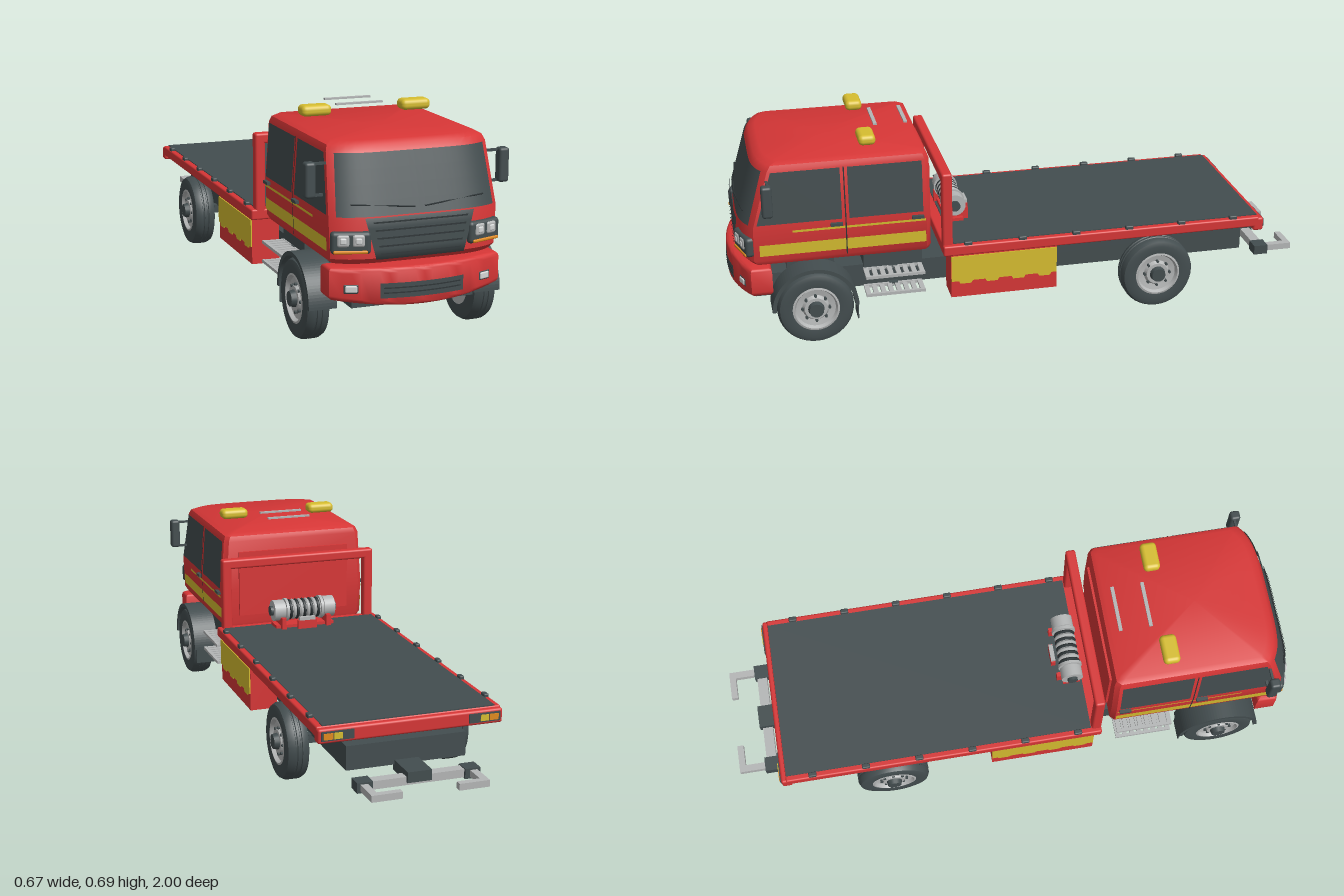
import * as THREE from 'three';
import { toCreasedNormals } from 'three/addons/utils/BufferGeometryUtils.js';
import { RoundedBoxGeometry } from 'three/addons/geometries/RoundedBoxGeometry.js';
import { ParametricGeometry } from 'three/addons/geometries/ParametricGeometry.js';

const paint = (name, color) => {
  const m = new THREE.MeshStandardMaterial({ color, side: THREE.DoubleSide });
  m.name = name;
  return m;
};

// Cab profile, bottom to top: [y, half width, front z, back z]
const LEVELS = [
  [0.283, 0.258, 0.952, 0.335], [0.3, 0.268, 0.965, 0.33], [0.42, 0.273, 0.962, 0.33],
  [0.61, 0.26, 0.905, 0.33], [0.628, 0.253, 0.893, 0.337], [0.638, 0.236, 0.87, 0.352],
];
const BOW = 0.045;
function cabAt(y) {
  let i = 0;
  while (i < LEVELS.length - 2 && y > LEVELS[i + 1][0]) i++;
  const a = LEVELS[i], b = LEVELS[i + 1], t = (y - a[0]) / (b[0] - a[0]);
  return a.map((v, k) => v + (b[k] - v) * t);
}
function frontZ(x, y) {
  const [, hw, zf] = cabAt(y);
  return zf - BOW * Math.pow(Math.abs(x / hw), 5);
}

// Cab shell lofted through horizontal rings
function cabGeometry() {
  const pos = [], idx = [], N = 25;
  for (const [y, hw, , zb] of LEVELS) {
    for (let i = 0; i < N - 4; i++) {
      const x = hw * Math.sin((i / (N - 5) - 0.5) * Math.PI);
      pos.push(x, y, frontZ(x, y));
    }
    pos.push(hw, y, zb + 0.015, hw - 0.015, y, zb, 0.015 - hw, y, zb, -hw, y, zb + 0.015);
  }
  const top = LEVELS.length - 1, c = LEVELS.length * N;
  pos.push(0, LEVELS[0][0], 0.65, 0, LEVELS[top][0], 0.65);
  for (let i = 0; i < N; i++) {
    const j = (i + 1) % N;
    for (let k = 0; k < top; k++) {
      const a = k * N + i, b = k * N + j;
      idx.push(a, b, b + N, a, b + N, a + N);
    }
    idx.push(c, j, i, c + 1, top * N + i, top * N + j);
  }
  const g = new THREE.BufferGeometry();
  g.setAttribute('position', new THREE.Float32BufferAttribute(pos, 3));
  g.setIndex(idx);
  return toCreasedNormals(g, 0.6);
}

export function createModel() {
  const red = paint('red paint', 0xd63636), dark = paint('dark grey', 0x434d4f),
    black = paint('black trim', 0x2e3537), yellow = paint('yellow', 0xd6bd30),
    steel = paint('light steel', 0xb4b6b6), orange = paint('orange lens', 0xe08a1e),
    lens = paint('lamp lens', 0xd4d6d6);
  const model = new THREE.Group();
  const add = (name, geo, mat, x = 0, y = 0, z = 0, parent = model) => {
    const m = new THREE.Mesh(geo, mat);
    m.name = name;
    m.position.set(x, y, z);
    parent.add(m);
    return m;
  };
  // Box given by its limits on each axis
  const box = (name, mat, x0, x1, y0, y1, z0, z1, r = 0, parent = model) => {
    const w = x1 - x0, h = y1 - y0, d = z1 - z0;
    const g = r ? new RoundedBoxGeometry(w, h, d, 3, r) : new THREE.BoxGeometry(w, h, d);
    return add(name, g, mat, (x0 + x1) / 2, (y0 + y1) / 2, (z0 + z1) / 2, parent);
  };
  // Plate on the cab front, with its own half width at bottom and top
  const frontPlate = (name, mat, w0, w1, y0, y1, off) =>
    add(name, new ParametricGeometry((u, v, p) => {
      const y = y0 + (y1 - y0) * v, x = (w0 + (w1 - w0) * v) * (2 * u - 1);
      p.set(x, y, frontZ(x, y) + off);
    }, 24, 4), mat);

  // Cab
  add('cab', cabGeometry(), red);
  frontPlate('windshield', dark, 0.255, 0.242, 0.427, 0.608, 0.004);
  frontPlate('grille', dark, 0.142, 0.176, 0.298, 0.424, 0.009);
  for (let i = 0; i < 5; i++) {
    const y = 0.312 + i * 0.024;
    frontPlate('grilleSlat', black, 0.128 + i * 0.006, 0.13 + i * 0.006, y, y + 0.005, 0.013);
  }
  box('cabBackPanel', red, -0.21, 0.21, 0.33, 0.57, 0.322, 0.334);
  box('roofRailFront', steel, -0.08, 0.08, 0.674, 0.68, 0.475, 0.487);
  box('roofRailRear', steel, -0.08, 0.08, 0.674, 0.68, 0.372, 0.384);

  // Bumper
  const plan = new THREE.Shape();
  plan.moveTo(-0.263, -0.88);
  plan.lineTo(-0.263, -0.925);
  plan.quadraticCurveTo(0, -1.045, 0.263, -0.925);
  plan.lineTo(0.263, -0.88);
  const bumper = new THREE.ExtrudeGeometry(plan, { depth: 0.09, bevelSize: 0.015, bevelThickness: 0.015, bevelSegments: 4, curveSegments: 20 });
  bumper.rotateX(-Math.PI / 2);
  // raise the lower edge towards the ends
  const bp = bumper.attributes.position;
  for (let i = 0; i < bp.count; i++) {
    if (bp.getY(i) < 0.045) bp.setY(i, bp.getY(i) + 0.022 * (bp.getX(i) / 0.278) ** 2);
  }
  add('bumper', toCreasedNormals(bumper, 0.6), red, 0, 0.17, 0);
  const bumperPlate = (name, mat, w, y0, y1, off) =>
    add(name, new ParametricGeometry((u, v, p) => {
      const x = w * (2 * u - 1);
      p.set(x, y0 + (y1 - y0) * v, 0.94 + 0.06 * (1 - (x / 0.263) ** 2) + off);
    }, 14, 1), mat);
  bumperPlate('bumperVent', dark, 0.135, 0.183, 0.229, 0.002);
  for (const y of [0.197, 0.212]) bumperPlate('bumperVentSlat', black, 0.125, y, y + 0.004, 0.003);

  // Chassis and its mounts
  box('chassis', dark, -0.2, 0.2, 0.14, 0.22, -0.8, 0.92);
  for (const z of [0.73, 0.455, 0.085, -0.455]) box('chassisMount', dark, -0.18, 0.18, 0.21, 0.284, z - 0.08, z + 0.08);

  // Flat bed
  box('bed', red, -0.305, 0.305, 0.268, 0.304, -0.825, 0.295, 0.006);
  box('bedFloor', dark, -0.285, 0.285, 0.302, 0.307, -0.822, 0.258);
  box('bedRearRail', red, -0.305, 0.305, 0.252, 0.3, -0.842, -0.805, 0.008);
  box('headboardTop', red, -0.29, 0.29, 0.525, 0.56, 0.26, 0.295, 0.008);

  // Winch
  const winch = new THREE.Group();
  winch.name = 'winch';
  winch.position.set(0, 0.368, 0.22);
  model.add(winch);
  const roller = (name, mat, r, len, x) =>
    add(name, new THREE.CylinderGeometry(r, r, len, 24).rotateZ(Math.PI / 2), mat, x, 0, 0, winch);
  roller('winchDrum', steel, 0.032, 0.2, 0);
  for (let i = 0; i < 9; i++) add('winchCable', new THREE.TorusGeometry(0.032, 0.006, 6, 20).rotateY(Math.PI / 2), i % 2 ? steel : black, -0.052 + i * 0.013, 0, 0, winch);
  for (const s of [-1, 1]) {
    roller('winchFlange', steel, 0.042, 0.01, s * 0.066);
    roller('winchMotor', steel, 0.038, 0.04, s * 0.095);
    roller('winchCap', dark, 0.018, 0.014, s * 0.118);
    box('winchFoot', red, s * 0.085 - 0.008, s * 0.085 + 0.008, -0.064, -0.02, -0.05, 0.04, 0, winch);
  }
  box('winchBase', red, -0.11, 0.11, -0.064, -0.05, -0.03, 0.03, 0, winch);
  box('cableGuide', red, -0.035, 0.035, -0.064, -0.03, -0.06, -0.045, 0, winch);
  box('cableRoller', steel, -0.03, 0.03, -0.03, -0.018, -0.06, -0.045, 0, winch);

  // Rear towing gear
  box('towMount', dark, -0.04, 0.04, 0.12, 0.155, -0.91, -0.79);
  box('towBar', steel, -0.2, 0.2, 0.11, 0.137, -0.9, -0.865);

  // Wheel profiles, turned around the axle
  const lathe = (pts) => new THREE.LatheGeometry(pts.map(([r, h]) => new THREE.Vector2(r, h)), 40).rotateZ(-Math.PI / 2);
  const tyre = toCreasedNormals(lathe([[0.076, -0.04], [0.105, -0.04], [0.12, -0.035], [0.127, -0.022], [0.128, -0.012],
    [0.125, -0.01], [0.125, -0.006], [0.128, -0.004], [0.128, 0.004], [0.125, 0.006], [0.125, 0.01], [0.128, 0.012],
    [0.127, 0.022], [0.12, 0.035], [0.105, 0.04], [0.076, 0.036]]), 0.5);
  const rim = toCreasedNormals(lathe([[0, -0.03], [0.078, -0.036], [0.08, 0.036], [0.072, 0.038], [0.066, 0.026], [0.045, 0.022], [0.038, 0.034], [0, 0.034]]), 0.5);
  const arch = new THREE.Shape();
  arch.absarc(0, 0, 0.144, 0, Math.PI, false);
  arch.absarc(0, 0, 0.131, Math.PI, 0, true);
  const archGeo = new THREE.ExtrudeGeometry(arch, { depth: 0.09, bevelEnabled: false, curveSegments: 24 }).rotateY(Math.PI / 2);

  // Yellow locker front with a notched lower edge
  const notch = new THREE.Shape();
  notch.moveTo(-0.183, 0.262);
  notch.lineTo(-0.183, 0.17);
  for (let i = 0; i < 4; i++) {
    const z = -0.183 + i * 0.0915;
    notch.lineTo(z + 0.025, 0.17);
    notch.lineTo(z + 0.03, 0.16);
    notch.lineTo(z + 0.068, 0.16);
    notch.lineTo(z + 0.073, 0.17);
  }
  notch.lineTo(0.183, 0.17);
  notch.lineTo(0.183, 0.262);
  const notchGeo = new THREE.ExtrudeGeometry(notch, { depth: 0.005, bevelEnabled: false }).rotateY(Math.PI / 2);

  // Everything on the left, then again mirrored for the right
  const buildSide = (g) => {
    const b = (name, mat, ...rest) => box(name, mat, ...rest.concat(rest.length < 7 ? [0] : []), g);
    // cab side plates run from zf (front) to zr (rear); zt is the front end at the top
    const plate = (name, mat, zf, zr, y0, y1, off = 0.003, zt = zf) =>
      add(name, new ParametricGeometry((u, v, p) => {
        const y = y0 + (y1 - y0) * v, f = zf + (zt - zf) * v;
        p.set(cabAt(y)[1] + off, y, f + (zr - f) * u);
      }, 1, 1), mat, 0, 0, 0, g);
    plate('frontSideWindow', dark, 0.905, 0.626, 0.43, 0.607, 0.003, 0.85);
    plate('rearSideWindow', dark, 0.602, 0.356, 0.43, 0.607);
    plate('doorSeamLow', black, 0.616, 0.612, 0.3, 0.42, 0.004);
    plate('doorSeamHigh', black, 0.616, 0.612, 0.42, 0.61, 0.004);
    plate('sideStripe', yellow, 0.9, 0.348, 0.318, 0.358);
    plate('thinStripe', yellow, 0.79, 0.348, 0.396, 0.404);
    for (const z of [0.645, 0.375]) b('doorHandle', dark, 0.27, 0.285, 0.408, 0.418, z - 0.02, z + 0.02);
    // wiper
    const wiper = new THREE.LineCurve3(new THREE.Vector3(0.015, 0.447, frontZ(0.015, 0.447) + 0.007),
      new THREE.Vector3(0.215, 0.464, frontZ(0.215, 0.464) + 0.01));
    add('wiper', new THREE.TubeGeometry(wiper, 4, 0.0025, 5), black, 0, 0, 0, g);
    // headlight
    const head = new THREE.Group();
    head.name = 'headlight';
    head.position.set(0.214, 0.351, 0.945);
    head.rotation.y = 0.3;
    g.add(head);
    box('headlightHousing', dark, -0.06, 0.06, -0.034, 0.034, -0.022, 0.016, 0.012, head);
    for (const x of [-0.023, 0.023]) {
      box('lampFrame', steel, x - 0.019, x + 0.019, -0.011, 0.027, 0, 0.02, 0.008, head);
      box('lampLens', lens, x - 0.01, x + 0.01, -0.002, 0.018, 0.01, 0.023, 0.005, head);
    }
    box('turnSignal', orange, -0.05, 0.052, -0.031, -0.021, 0, 0.02, 0.004, head);
    b('fogLampFrame', dark, 0.191, 0.236, 0.198, 0.227, 0.935, 0.962, 0.004).rotation.y = 0.35;
    b('fogLamp', lens, 0.196, 0.232, 0.202, 0.223, 0.938, 0.966, 0.004).rotation.y = 0.35;
    // mirror and beacon
    b('mirror', dark, 0.299, 0.333, 0.477, 0.585, 0.852, 0.887, 0.009);
    for (const y of [0.482, 0.577]) b('mirrorArm', dark, 0.245, 0.31, y - 0.004, y + 0.004, 0.86, 0.868);
    b('beacon', yellow, 0.12, 0.22, 0.655, 0.69, 0.498, 0.555, 0.015);
    // wheels
    for (const z of [0.73, -0.457]) {
      add('tyre', tyre, dark, 0.278, 0.128, z, g);
      add('rim', rim, steel, 0.278, 0.128, z, g);
      add('hub', new THREE.CylinderGeometry(0.024, 0.028, 0.02, 16).rotateZ(-Math.PI / 2), dark, 0.319, 0.128, z, g);
      for (let i = 0; i < 8; i++) {
        const a = i * Math.PI / 4;
        add('wheelNut', new THREE.CylinderGeometry(0.005, 0.005, 0.012, 6).rotateZ(Math.PI / 2), dark, 0.306, 0.128 + 0.045 * Math.cos(a), z + 0.045 * Math.sin(a), g);
      }
      b('axle', dark, 0, 0.25, 0.113, 0.143, z - 0.015, z + 0.015);
    }
    add('frontFender', archGeo, dark, 0.228, 0.13, 0.73, g);
    b('mudFlap', dark, 0.24, 0.31, 0.075, 0.145, 0.588, 0.592);
    // tank and steps
    b('tank', dark, 0.1, 0.215, 0.19, 0.265, 0.355, 0.555);
    for (const y of [0.21, 0.145]) {
      for (const x of [0.215, 0.285]) b('stepRail', steel, x - 0.005, x + 0.005, y - 0.005, y + 0.005, 0.357, 0.557);
      for (let i = 0; i < 8; i++) b('stepRung', steel, 0.215, 0.285, y - 0.004, y + 0.004, 0.357 + i * 0.0263, 0.373 + i * 0.0263);
      b('stepBracket', dark, 0.19, 0.22, y - 0.006, y + 0.006, 0.44, 0.47);
    }
    // locker
    b('locker', red, 0.2, 0.296, 0.11, 0.268, -0.098, 0.27);
    add('lockerFront', notchGeo, yellow, 0.295, 0, 0.086, g);
    // bed fittings
    b('headboardPost', red, 0.255, 0.29, 0.29, 0.56, 0.26, 0.295, 0.008);
    for (let i = 0; i < 6; i++) {
      const z = 0.21 - i * 0.188;
      b('lashingHook', dark, 0.286, 0.303, 0.3, 0.315, z - 0.014, z + 0.014, 0.004);
    }
    b('tailLightHousing', dark, 0.19, 0.295, 0.262, 0.292, -0.846, -0.835);
    b('tailLightAmber', orange, 0.258, 0.288, 0.267, 0.287, -0.849, -0.84);
    b('tailLightYellow', yellow, 0.228, 0.255, 0.267, 0.287, -0.849, -0.84);
    // towing arm
    b('towBracket', dark, 0.152, 0.203, 0.107, 0.14, -0.908, -0.858);
    b('towArm', steel, 0.168, 0.192, 0.113, 0.135, -1, -0.88);
    b('towFork', steel, 0.092, 0.192, 0.113, 0.135, -1, -0.978);
  };
  for (const [name, s] of [['leftSide', 1], ['rightSide', -1]]) {
    const g = new THREE.Group();
    g.name = name;
    g.scale.x = s;
    buildSide(g);
    model.add(g);
  }
  return model;
}
